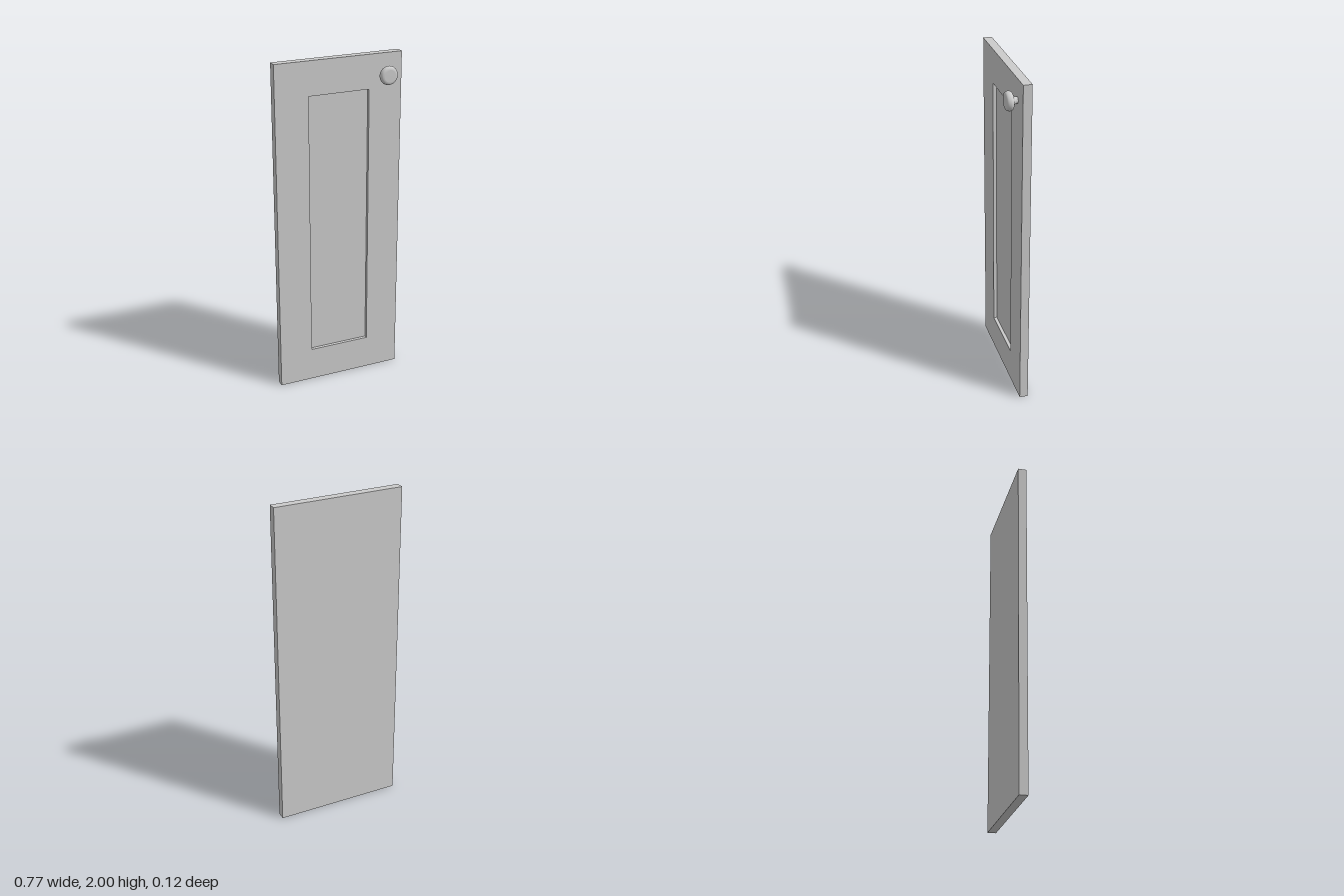
import * as THREE from 'three';

const WIDTH = 0.77, HEIGHT = 2, BACK = -0.06, FRONT = -0.01;
const RECESS = 0.02; // depth of the centre panel behind the frame face

function rectangle(target, x0, y0, x1, y1) {
  target.moveTo(x0, y0);
  target.lineTo(x1, y0);
  target.lineTo(x1, y1);
  target.lineTo(x0, y1);
  target.closePath();
  return target;
}

export function createModel() {
  const model = new THREE.Group();
  model.name = 'cabinetDoor';
  const material = new THREE.MeshStandardMaterial({ color: 0xcccccc });

  function add(name, geometry, x, y, z) {
    const mesh = new THREE.Mesh(geometry, material);
    mesh.name = name;
    mesh.position.set(x, y, z);
    model.add(mesh);
    return mesh;
  }

  // Solid back board, whose front shows as the sunken panel
  const boardDepth = FRONT - RECESS - BACK;
  add('panel', new THREE.BoxGeometry(WIDTH, HEIGHT, boardDepth), 0, HEIGHT / 2, BACK + boardDepth / 2);

  // Raised frame with a rectangular opening
  const frame = rectangle(new THREE.Shape(), -WIDTH / 2, 0, WIDTH / 2, HEIGHT);
  frame.holes.push(rectangle(new THREE.Path(), -0.184, 0.204, 0.184, 1.8));
  add('frame', new THREE.ExtrudeGeometry(frame, { depth: RECESS, bevelEnabled: false }), 0, 0, FRONT - RECESS);

  // Turned knob: straight neck, flared underside, rounded rim, flat face
  const rim = new THREE.SplineCurve([
    [0.019, 0.010], [0.023, 0.017], [0.035, 0.024], [0.047, 0.030], [0.053, 0.039],
    [0.054, 0.047], [0.051, 0.058], [0.045, 0.065], [0.035, 0.068],
  ].map(([r, h]) => new THREE.Vector2(r, h)));
  const profile = [
    new THREE.Vector2(0.019, 0),
    ...rim.getPoints(32),
    new THREE.Vector2(0, 0.068),
  ];
  const knob = add('knob', new THREE.LatheGeometry(profile, 48), 0.282, 1.88, FRONT);
  knob.rotation.x = Math.PI / 2;

  return model;
}
